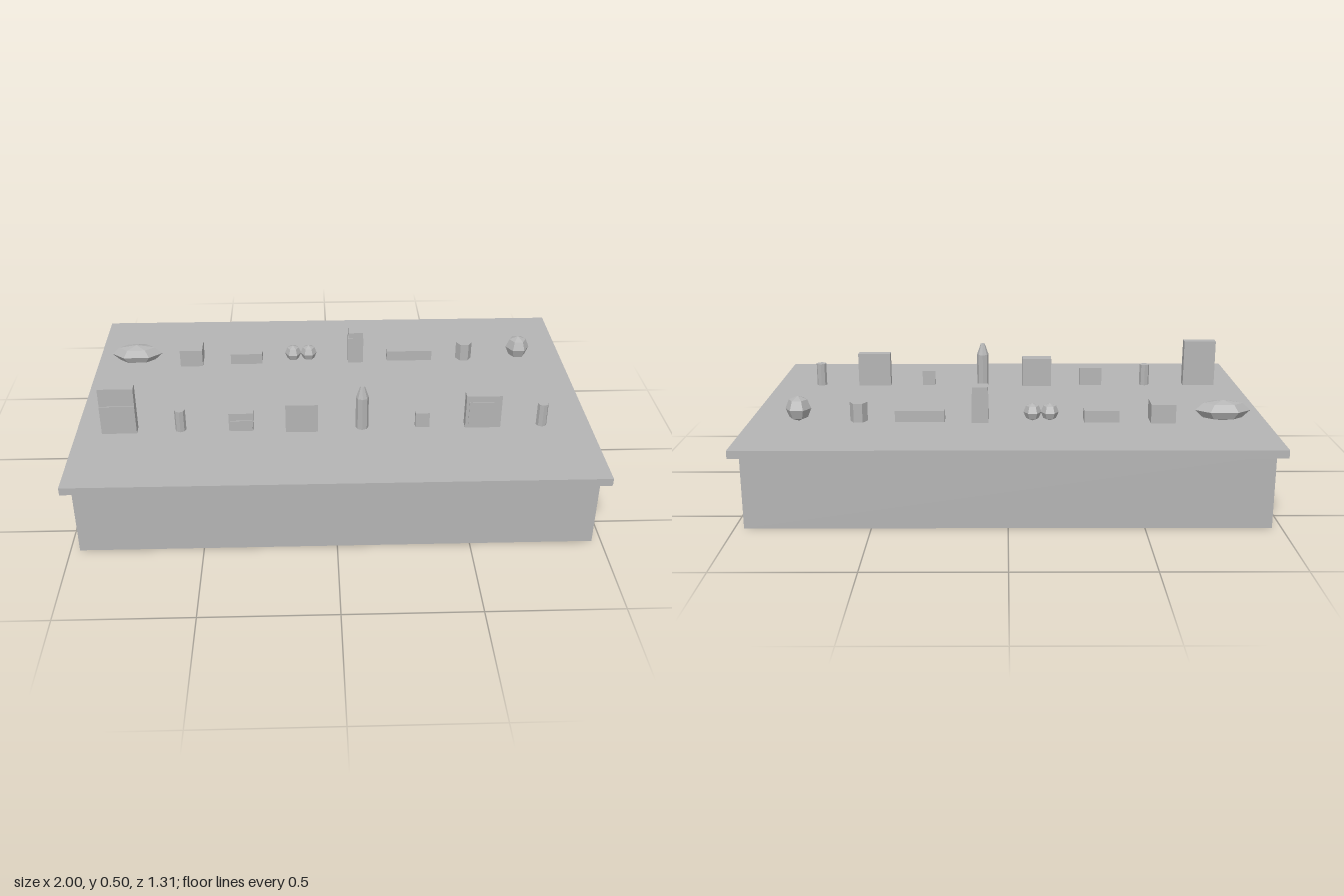
import * as THREE from 'three';

export function createModel() {
  const root = new THREE.Group();
  const grey = new THREE.MeshStandardMaterial({ color: 0xb4b4b4, flatShading: true });
  grey.name = 'plain grey';
  const TOP = 0.31, BACK = -0.28, FRONT = 0.273;

  const add = (name, geometry, x, y, z) => {
    const mesh = new THREE.Mesh(geometry, grey);
    mesh.name = name;
    mesh.position.set(x, y, z);
    root.add(mesh);
    return mesh;
  };
  // box given by its centre in plan and its bottom and top heights
  const box = (name, x, z, w, d, y1, y0 = TOP) =>
    add(name, new THREE.BoxGeometry(w, y1 - y0, d), x, (y0 + y1) / 2, z);
  const post = (name, x, z, r0, r1, sides, y1, y0 = TOP) =>
    add(name, new THREE.CylinderGeometry(r1, r0, y1 - y0, sides).rotateY(Math.PI / 2),
      x, (y0 + y1) / 2, z);
  const ball = (name, x, y, z, r) => add(name, new THREE.SphereGeometry(r, 6, 4), x, y, z);

  // counter
  box('counterBody', 0, 0, 1.93, 1.24, 0.28, 0);
  box('counterTop', 0, 0, 2, 1.31, TOP, 0.28);

  // back row of goods
  ball('loaf', -0.832, 0.351, BACK, 1).scale.set(0.107, 0.041, 0.049);
  box('squareBlock', -0.597, BACK, 0.095, 0.095, 0.385);
  box('lowBlock', -0.362, BACK, 0.135, 0.065, 0.357);
  for (const x of [-0.162, -0.095]) ball('smallBall', x, 0.345, BACK, 0.035);
  box('cartonBody', 0.107, BACK, 0.065, 0.065, 0.425);
  box('cartonCap', 0.107, BACK, 0.06, 0.06, 0.45, 0.425);
  box('longBar', 0.34, BACK, 0.192, 0.043, 0.355);
  post('hexJar', 0.577, BACK, 0.034, 0.034, 6, 0.385);
  ball('largeBall', 0.81, 0.36, BACK, 0.05);

  // front row of goods
  box('tallPacket', -0.832, FRONT, 0.135, 0.04, 0.505);
  box('tallPacketPanel', -0.832, FRONT + 0.021, 0.135, 0.006, 0.43);
  post('firstCan', -0.597, FRONT, 0.021, 0.021, 8, 0.4);
  box('smallPacket', -0.362, FRONT, 0.095, 0.03, 0.386);
  box('smallPacketPanel', -0.362, FRONT + 0.016, 0.085, 0.006, 0.355);
  box('wideBlock', -0.127, FRONT, 0.125, 0.065, 0.43);
  post('bottleBody', 0.107, FRONT, 0.025, 0.025, 8, 0.445);
  post('bottleNeck', 0.107, FRONT, 0.025, 0.009, 8, 0.492, 0.445);
  box('tinyBlock', 0.342, FRONT, 0.055, 0.022, 0.373);
  box('widePacket', 0.577, FRONT, 0.138, 0.04, 0.45);
  box('widePacketPanel', 0.567, FRONT + 0.021, 0.095, 0.005, 0.425, 0.33);
  post('secondCan', 0.81, FRONT, 0.021, 0.021, 8, 0.405);

  return root;
}
